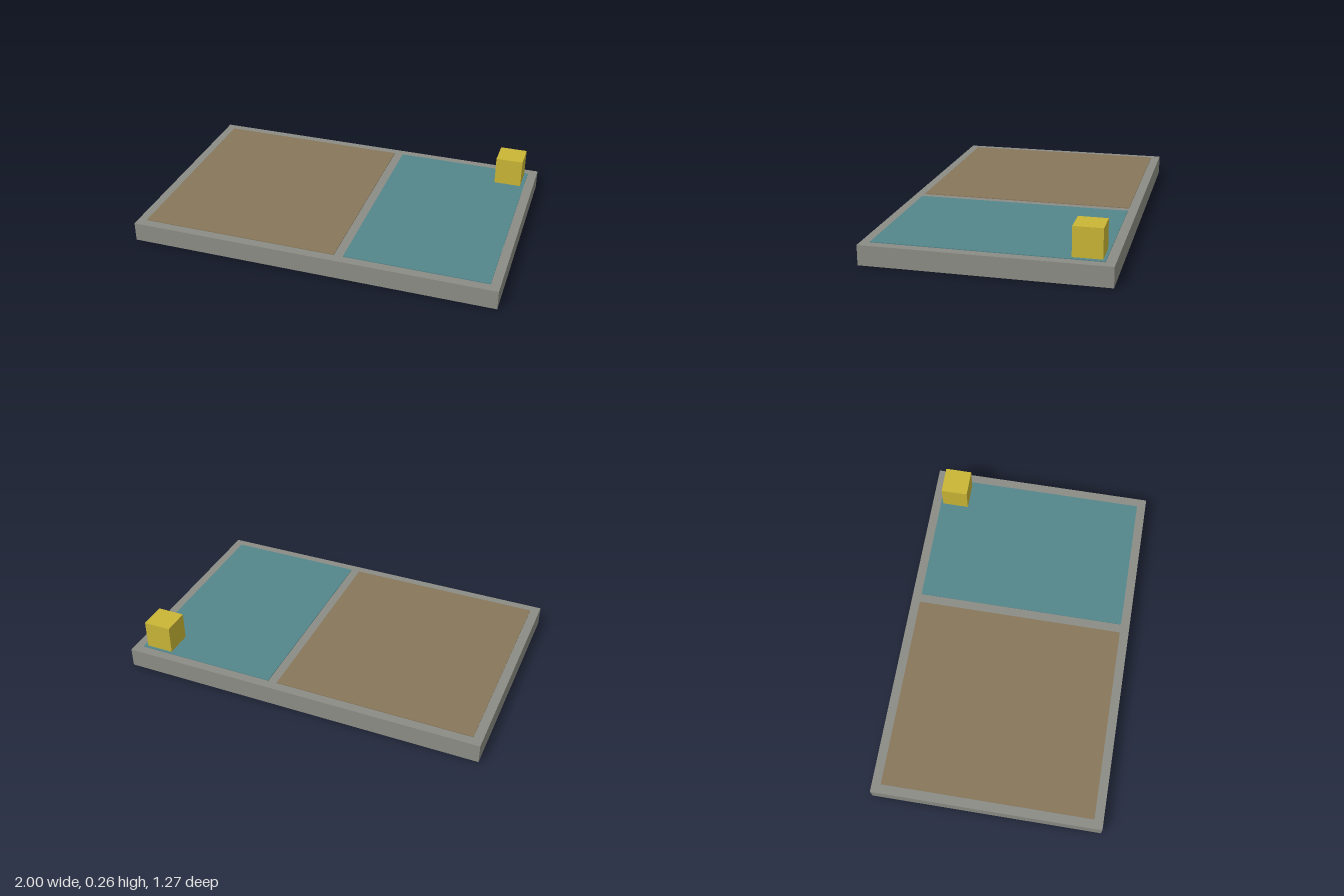
import * as THREE from 'three';

const material = (name, color) => {
  const m = new THREE.MeshStandardMaterial({ color });
  m.name = name;
  return m;
};

export function createModel() {
  const group = new THREE.Group();
  const grey = material('stone grey', 0x8b8c84);
  const brown = material('earth brown', 0x87775b);
  const teal = material('water teal', 0x53868b);
  const yellow = material('marker yellow', 0xc9b535);

  // Box given by its minimum and maximum corners
  const box = (name, mat, [x0, y0, z0], [x1, y1, z1]) => {
    const mesh = new THREE.Mesh(new THREE.BoxGeometry(x1 - x0, y1 - y0, z1 - z0), mat);
    mesh.position.set((x0 + x1) / 2, (y0 + y1) / 2, (z0 + z1) / 2);
    mesh.name = name;
    group.add(mesh);
  };

  const top = 0.106, panelTop = 0.11;

  // Base slab
  box('baseSlab', grey, [-1, 0, -0.634], [1, top, 0.634]);
  // Thin panels laid on the slab
  box('brownPanel', brown, [-0.95, top, -0.584], [0.13, panelTop, 0.584]);
  box('tealPanel', teal, [0.18, top, -0.584], [0.95, panelTop, 0.584]);
  // Block standing in the back corner
  box('cornerBlock', yellow, [0.78, top, -0.57], [0.93, 0.265, -0.42]);

  return group;
}
